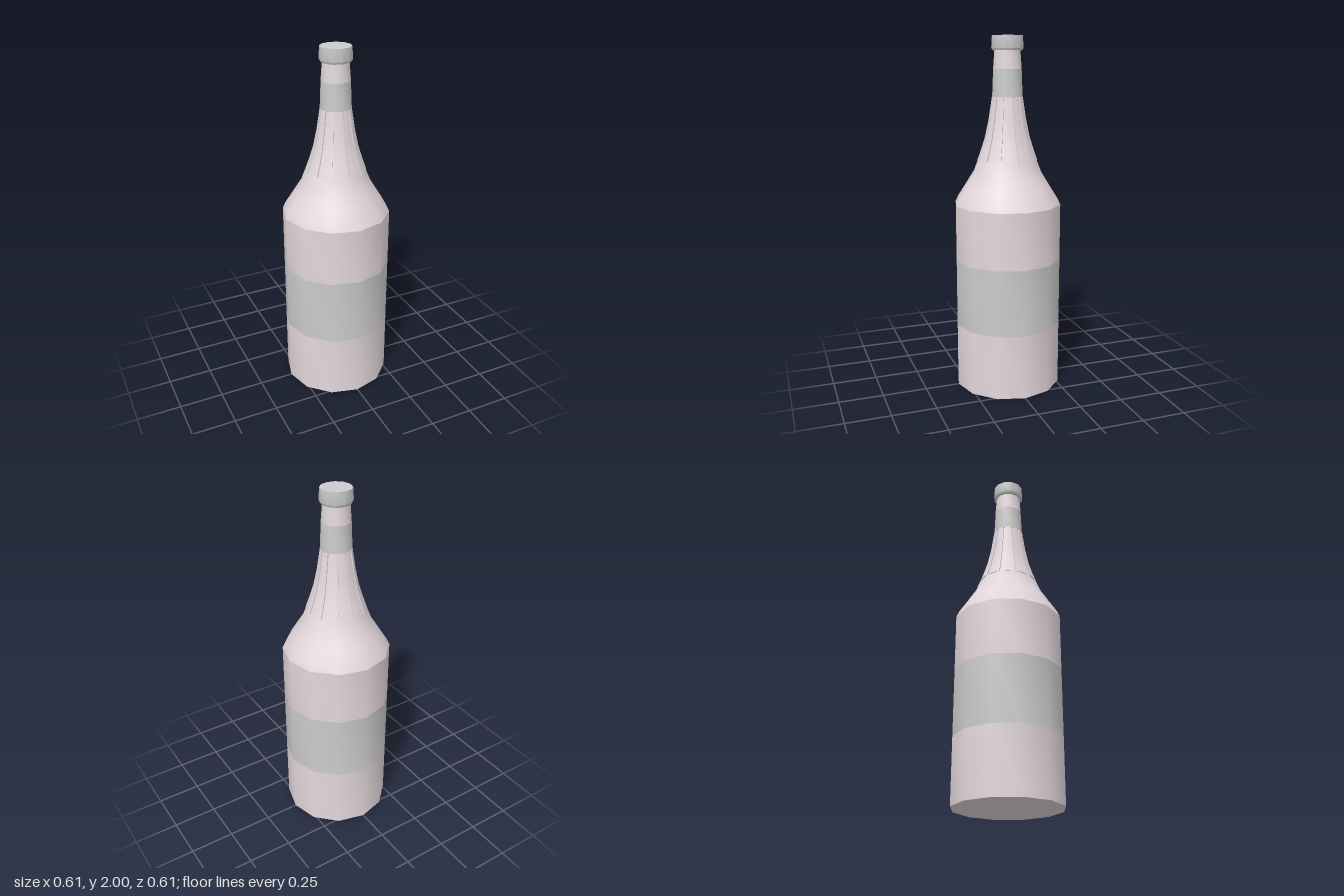
import * as THREE from 'three';
import { toCreasedNormals } from 'three/addons/utils/BufferGeometryUtils.js';

const SIDES = 12;
const glass = new THREE.MeshStandardMaterial({ color: 0xe4d8dd });
const grey = new THREE.MeshStandardMaterial({ color: 0xcccccc });

// Twelve-sided turned section; profile is [radius, height] from bottom to top
function turned(name, material, profile, crease = 0.6) {
  const points = profile.map(([r, y]) => new THREE.Vector2(r, y));
  const geometry = toCreasedNormals(new THREE.LatheGeometry(points, SIDES), crease);
  const mesh = new THREE.Mesh(geometry, material);
  mesh.name = name;
  return mesh;
}

// Outline of the tapering panelled neck
const taper = [[0.168, 1.32], [0.147, 1.38], [0.125, 1.45], [0.104, 1.55], [0.086, 1.67]];
const DEPTH = 0.007;
const HALF_GAP = 0.005;

// One raised panel: a curved grid whose border rows and columns drop into the groove
function panelGeometry() {
  const rows = [taper[0], ...taper, taper[taper.length - 1]];
  const columns = [0, 0, 1 / 3, 2 / 3, 1, 1];
  const step = (Math.PI * 2) / SIDES;
  const positions = [];
  const index = [];
  rows.forEach(([r, y], i) => {
    const margin = HALF_GAP / r;
    columns.forEach((t, j) => {
      const border = i === 0 || i === rows.length - 1 || j === 0 || j === columns.length - 1;
      const radius = border ? r - DEPTH : r;
      const a = margin + t * (step - 2 * margin);
      positions.push(radius * Math.sin(a), y, radius * Math.cos(a));
    });
  });
  const n = columns.length;
  for (let i = 0; i < rows.length - 1; i++) {
    for (let j = 0; j < n - 1; j++) {
      const a = i * n + j;
      index.push(a, a + 1, a + n + 1, a, a + n + 1, a + n);
    }
  }
  const geometry = new THREE.BufferGeometry();
  geometry.setAttribute('position', new THREE.Float32BufferAttribute(positions, 3));
  geometry.setIndex(index);
  return toCreasedNormals(geometry, 0.6);
}

export function createModel() {
  const bottle = new THREE.Group();
  bottle.name = 'bottle';

  // Straight body with a label band
  bottle.add(
    turned('lowerBody', glass, [[0, 0], [0.304, 0], [0.304, 0.37]]),
    turned('labelBand', grey, [[0.304, 0.37], [0.304, 0.75]]),
    turned('upperBody', glass, [[0.304, 0.75], [0.304, 1.07]]),
  );

  // Sloping shoulder, closed inwards to the recessed neck
  bottle.add(turned('shoulder', glass, [
    [0.304, 1.07], [0.288, 1.105], [0.24, 1.18], [0.193, 1.255], [0.168, 1.32], [0.158, 1.32],
  ], 0.9));

  // Recessed core seen in the grooves between panels
  bottle.add(turned('neckCore', glass, taper.map(([r, y]) => [r - DEPTH, y])));

  // Ring of raised neck panels
  const panels = new THREE.Group();
  panels.name = 'neckPanels';
  const geometry = panelGeometry();
  for (let i = 0; i < SIDES; i++) {
    const panel = new THREE.Mesh(geometry, glass);
    panel.name = 'neckPanel';
    panel.rotation.y = (i * Math.PI * 2) / SIDES;
    panels.add(panel);
  }
  bottle.add(panels);

  // Upper neck with its band
  bottle.add(
    turned('neckBand', grey, [[0.078, 1.67], [0.086, 1.67], [0.08, 1.82]]),
    turned('upperNeck', glass, [[0.08, 1.82], [0.072, 1.93]]),
  );

  // Cap
  bottle.add(turned('cap', grey, [
    [0.07, 1.92], [0.083, 1.92], [0.09, 1.932], [0.086, 2], [0, 2],
  ]));

  return bottle;
}
